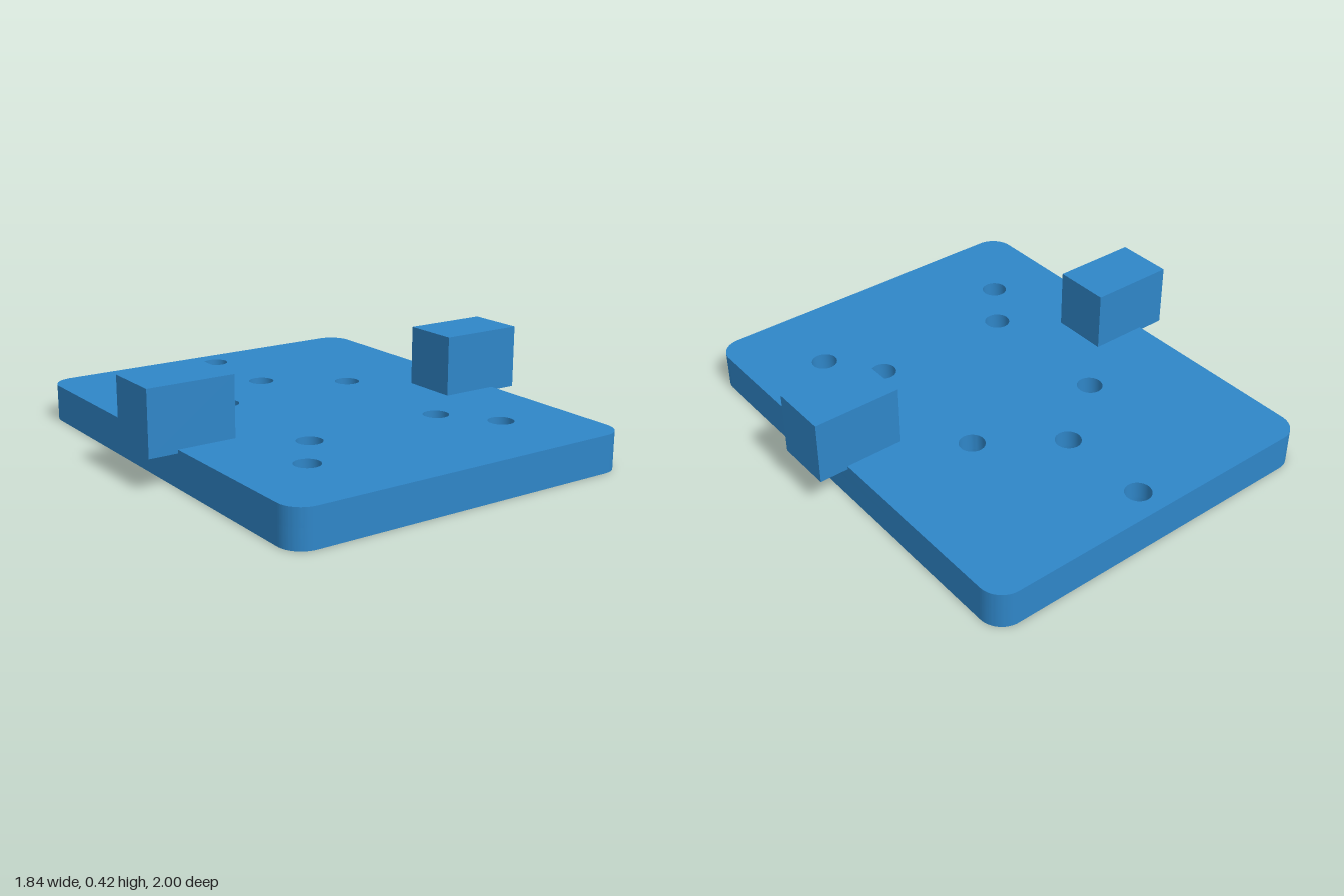
import * as THREE from 'three';
import { toCreasedNormals } from 'three/addons/utils/BufferGeometryUtils.js';

const HALF_W = 0.793, HALF_L = 1, CORNER = 0.1;
const PLATE_H = 0.16, POCKET_H = 0.085;
const HOLE_R = 0.055, HEX_R = 0.105;

// Hole centres [x, z]
const plainHoles = [[0, -0.875], [0, -0.465], [-0.317, -0.24], [0.317, -0.24], [-0.317, 0.395], [0.317, 0.395]];
const nutHoles = [[-0.477, 0.617], [0.477, 0.617]];

function roundedOutline() {
  const s = new THREE.Shape();
  const x = HALF_W - CORNER, y = HALF_L - CORNER;
  s.absarc(x, y, CORNER, 0, Math.PI / 2);
  s.absarc(-x, y, CORNER, Math.PI / 2, Math.PI);
  s.absarc(-x, -y, CORNER, Math.PI, Math.PI * 1.5);
  s.absarc(x, -y, CORNER, Math.PI * 1.5, Math.PI * 2);
  s.closePath();
  return s;
}

function roundHole([x, z]) {
  return new THREE.Path().absarc(x, -z, HOLE_R, 0, Math.PI * 2, true);
}

// Hexagon with two corners along z
function hexHole([x, z]) {
  const points = [];
  for (let i = 0; i < 6; i++) {
    const a = Math.PI / 2 - i * Math.PI / 3;
    points.push(new THREE.Vector2(x + HEX_R * Math.cos(a), -z + HEX_R * Math.sin(a)));
  }
  return new THREE.Path(points).closePath();
}

// Horizontal slab between two heights, pierced by the given holes
function slab(name, y0, y1, holes, material) {
  const shape = roundedOutline();
  shape.holes.push(...holes);
  const geo = new THREE.ExtrudeGeometry(shape, { depth: y1 - y0, bevelEnabled: false, curveSegments: 16 });
  geo.rotateX(-Math.PI / 2);
  geo.translate(0, y0, 0);
  const mesh = new THREE.Mesh(toCreasedNormals(geo, Math.PI / 6), material);
  mesh.name = name;
  return mesh;
}

export function createModel() {
  const model = new THREE.Group();
  model.name = 'mountingPlate';
  const blue = new THREE.MeshStandardMaterial({ color: 0x2f86c8 });
  blue.name = 'blue';

  // Plate: lower layer carries the hexagonal nut pockets, upper layer the round bores
  const plate = new THREE.Group();
  plate.name = 'plate';
  plate.add(
    slab('lowerPlate', 0, POCKET_H, [...plainHoles.map(roundHole), ...nutHoles.map(hexHole)], blue),
    slab('upperPlate', POCKET_H, PLATE_H, [...plainHoles, ...nutHoles].map(roundHole), blue)
  );
  model.add(plate);

  // Side blocks overhanging the long edges, sunk slightly into the plate
  for (const side of [-1, 1]) {
    const block = new THREE.Mesh(new THREE.BoxGeometry(0.38, 0.275, 0.252), blue);
    block.name = side > 0 ? 'leftBlock' : 'rightBlock';
    block.position.set(side * 0.728, 0.2825, 0.078);
    model.add(block);
  }
  return model;
}
